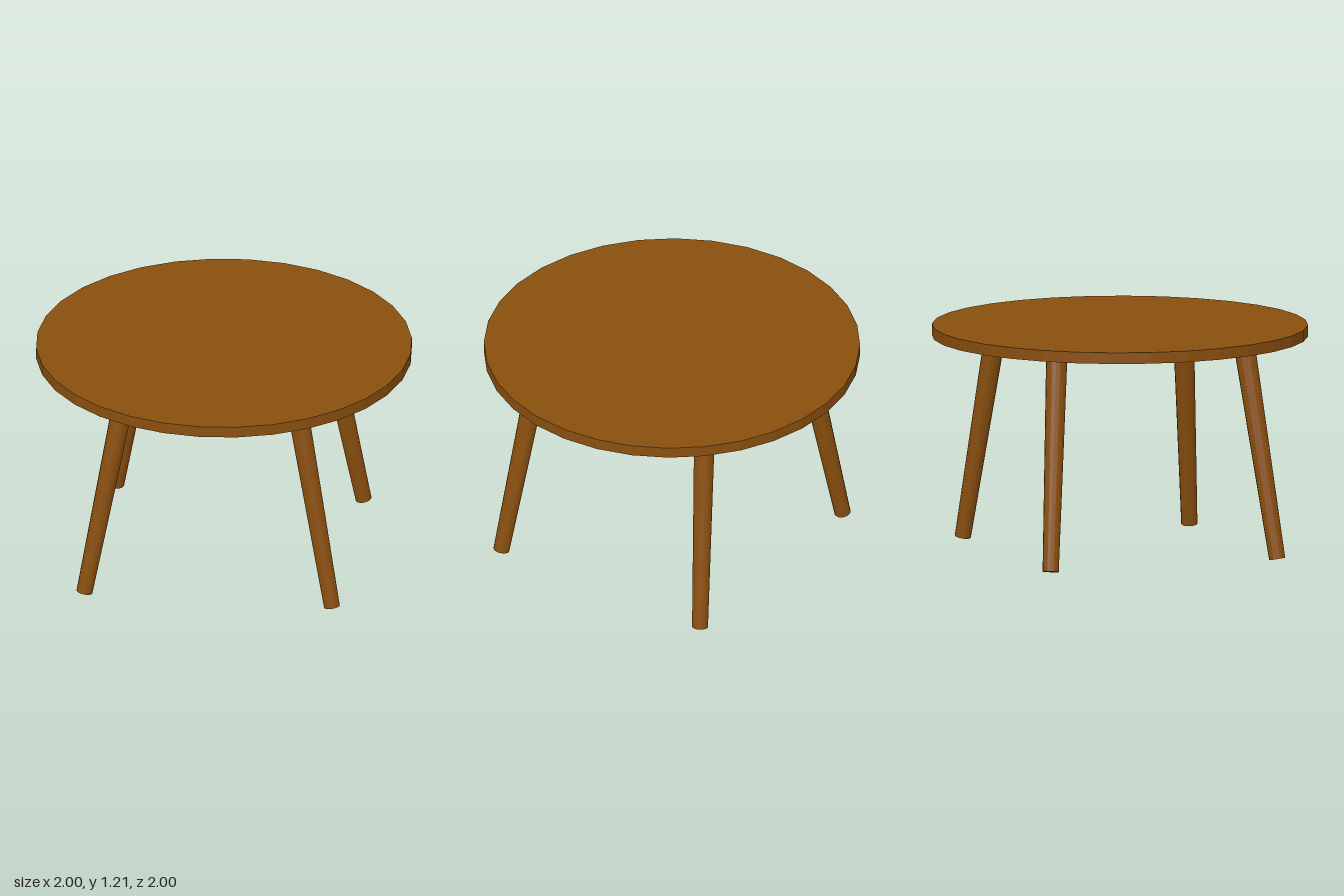
import * as THREE from 'three';

export function createModel() {
  const table = new THREE.Group();
  table.name = 'roundTable';
  const wood = new THREE.MeshStandardMaterial({ color: 0x8a4f0f, flatShading: true });

  // Round 32-sided top
  const top = new THREE.Mesh(new THREE.CylinderGeometry(1, 1, 0.06, 32), wood);
  top.name = 'tableTop';
  top.position.y = 1.18;
  table.add(top);

  // Four tapered legs splayed outwards, their upper ends set into the top
  const up = new THREE.Vector3(0, 1, 0);
  for (const [sx, sz, name] of [
    [1, 1, 'frontLeftLeg'], [-1, 1, 'frontRightLeg'],
    [1, -1, 'backLeftLeg'], [-1, -1, 'backRightLeg'],
  ]) {
    const foot = new THREE.Vector3(0.663 * sx, 0.009, 0.643 * sz);
    const head = new THREE.Vector3(0.455 * sx, 1.17, 0.529 * sz);
    const axis = head.clone().sub(foot);
    const leg = new THREE.Mesh(new THREE.CylinderGeometry(0.057, 0.043, axis.length(), 16), wood);
    leg.name = name;
    leg.position.copy(foot).add(head).multiplyScalar(0.5);
    leg.quaternion.setFromUnitVectors(up, axis.normalize());
    table.add(leg);
  }
  return table;
}
